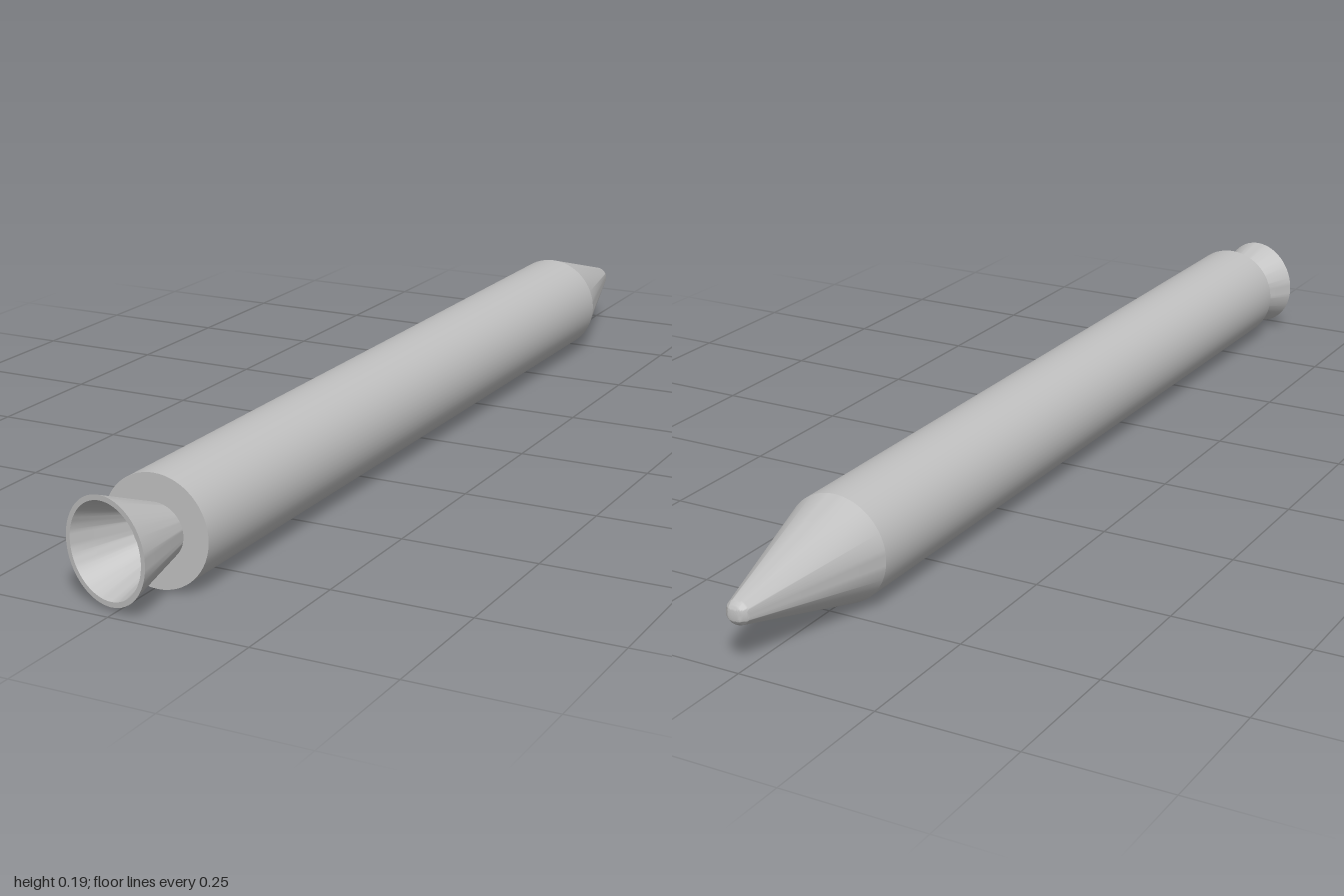
import * as THREE from 'three';
import { toCreasedNormals } from 'three/addons/utils/BufferGeometryUtils.js';

const SEGMENTS = 64;
const RADIUS = 0.097;
const CX = 0.006, CY = 0.098;
const TAIL_Z = 0.87, SHOULDER_Z = -0.715, TIP_Z = -1;

export function createModel() {
  const model = new THREE.Group();
  model.name = 'rocket';
  const grey = new THREE.MeshStandardMaterial({ color: 0xc0c0c0 });
  grey.name = 'light grey';

  const add = (name, geometry, x, z) => {
    const mesh = new THREE.Mesh(geometry, grey);
    mesh.name = name;
    mesh.position.set(x, CY, z);
    model.add(mesh);
    return mesh;
  };

  // Straight cylindrical body
  const length = TAIL_Z - SHOULDER_Z;
  const body = new THREE.CylinderGeometry(RADIUS, RADIUS, length, SEGMENTS).rotateX(Math.PI / 2);
  add('body', body, CX, (TAIL_Z + SHOULDER_Z) / 2);

  // Cone with a rounded tip tangent to its sides
  const noseLength = SHOULDER_Z - TIP_Z;
  const tipRadius = 0.023;
  const slope = THREE.MathUtils.degToRad(15.4);
  const profile = [new THREE.Vector2(RADIUS, 0)];
  for (let i = 0; i <= 10; i++) {
    const a = slope + (Math.PI / 2 - slope) * i / 10;
    profile.push(new THREE.Vector2(
      i === 10 ? 0 : tipRadius * Math.cos(a),
      noseLength - tipRadius + tipRadius * Math.sin(a)));
  }
  const nose = new THREE.LatheGeometry(profile, SEGMENTS).rotateX(-Math.PI / 2);
  add('noseCone', toCreasedNormals(nose, 0.5), CX, SHOULDER_Z);

  // Hollow flared nozzle, swivelled to one side, open down to the body's end face
  const wall = [[0.0415, -0.02], [0.09, 0.111], [0.081, 0.111], [0.0365, -0.02]]
    .map(([r, h]) => new THREE.Vector2(r, h));
  const bell = new THREE.LatheGeometry(wall, SEGMENTS).rotateX(Math.PI / 2);
  const nozzle = add('nozzle', toCreasedNormals(bell, 0.5), 0.011, TAIL_Z);
  nozzle.rotation.y = THREE.MathUtils.degToRad(-14);

  return model;
}
